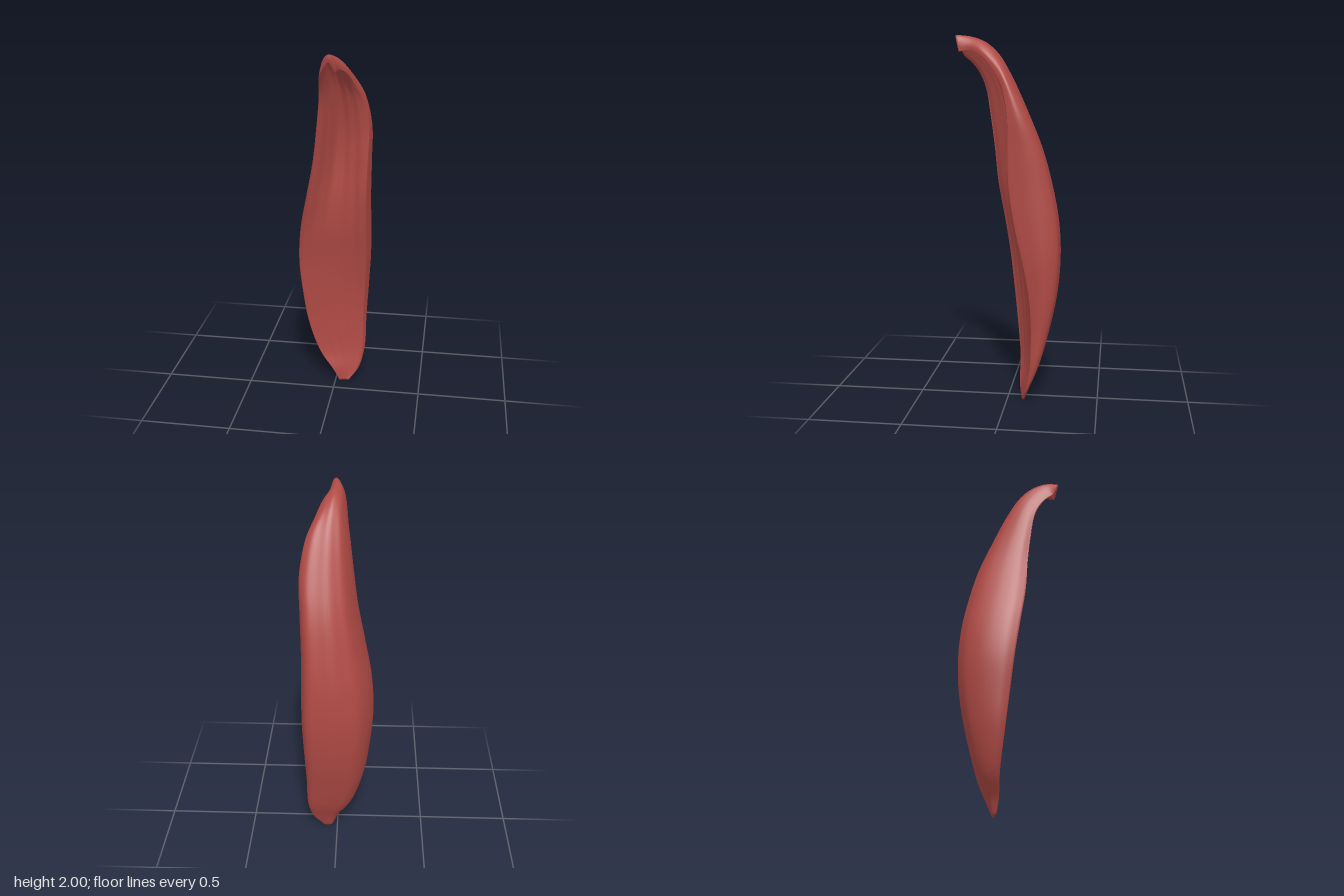
import * as THREE from 'three';

// Stations from base to tip: [left x, y, z,  spine y, z,  right x, y, z]
const STATIONS = [
  [0.025, 0.01, -0.072, 0.0, -0.095, 0.08, 0.01, -0.082],
  [-0.01, 0.08, -0.06, 0.08, -0.125, 0.135, 0.08, -0.11],
  [-0.09, 0.2, -0.055, 0.2, -0.175, 0.165, 0.2, -0.135],
  [-0.155, 0.4, -0.03, 0.4, -0.23, 0.17, 0.4, -0.145],
  [-0.185, 0.6, -0.005, 0.6, -0.27, 0.18, 0.6, -0.135],
  [-0.2, 0.8, 0.02, 0.8, -0.287, 0.19, 0.8, -0.1],
  [-0.185, 1.0, 0.05, 1.0, -0.278, 0.19, 1.0, -0.055],
  [-0.145, 1.2, 0.08, 1.2, -0.243, 0.19, 1.2, -0.025],
  [-0.105, 1.4, 0.095, 1.4, -0.19, 0.195, 1.4, -0.02],
  [-0.08, 1.58, 0.115, 1.6, -0.11, 0.198, 1.58, -0.018],
  [-0.062, 1.72, 0.135, 1.8, -0.015, 0.17, 1.73, 0.015],
  [-0.05, 1.8, 0.165, 1.9, 0.05, 0.13, 1.82, 0.07],
  [-0.042, 1.86, 0.21, 1.96, 0.12, 0.095, 1.89, 0.135],
  [-0.035, 1.89, 0.245, 1.99, 0.2, 0.06, 1.92, 0.2],
  [-0.01, 1.94, 0.268, 2.0, 0.285, 0.05, 1.91, 0.262],
];

// Cross-sections as [across 0..1, depth 0..1], blended from body to tip
const BACK = {
  body: [[0.03, 0], [0, 0.2], [0.045, 0.49], [0.16, 0.78], [0.36, 0.94],
    [0.65, 1], [0.89, 0.95], [1, 0.55], [0.96, 0]],
  tip: [[0, 0], [0.02, 0.25], [0.08, 0.55], [0.22, 0.85], [0.45, 1],
    [0.65, 0.95], [0.84, 0.7], [0.97, 0.32], [0.97, 0]],
};
// The front is nearly flat below and folds into a groove above
const FRONT = {
  body: [[0.03, 0], [0.09, 0.04], [0.2, 0.08], [0.34, 0.11], [0.5, 0.12],
    [0.66, 0.1], [0.8, 0.06], [0.9, 0.01], [0.96, 0]],
  tip: [[0, 0], [0.1, 0.07], [0.22, 0.24], [0.34, 0.44], [0.44, 0.5],
    [0.58, 0.39], [0.74, 0.22], [0.88, 0.05], [0.97, 0]],
};

const ROWS = 90, COLS = 40;

const smooth = (points) => new THREE.CatmullRomCurve3(points.map((p) => new THREE.Vector3(...p)));
const skin = ({ body, tip }) => ({
  body: smooth(body.map(([a, d]) => [a, d, 0])),
  tip: smooth(tip.map(([a, d]) => [a, d, 0])),
});

function petalGeometry() {
  const left = smooth(STATIONS.map((s) => s.slice(0, 3)));
  const spine = smooth(STATIONS.map((s) => [0, s[3], s[4]]));
  const right = smooth(STATIONS.map((s) => s.slice(5)));
  const back = skin(BACK), front = skin(FRONT);

  // Point on a skin: t runs base to tip, u runs left rim to right rim
  const pointOn = (curves, t, u, blend) => {
    const c = curves.body.getPoint(u).lerp(curves.tip.getPoint(u), blend);
    const p = left.getPoint(t).lerp(right.getPoint(t), c.x);
    const ridge = spine.getPoint(t);
    // faint lengthwise ribs
    const rib = 0.003 * Math.sin(u * 38 + t * 4) * Math.sin(Math.PI * u) * Math.sin(Math.PI * t);
    p.y += (ridge.y - p.y) * c.y;
    p.z += (ridge.z - p.z) * c.y + rib;
    return p;
  };

  // Closed rings: back skin left to right, then front skin back again
  const points = [], index = [], n = 2 * COLS;
  for (let j = 0; j <= ROWS; j++) {
    const t = j / ROWS;
    const curl = THREE.MathUtils.smoothstep(t, 0.6, 0.85);
    const groove = THREE.MathUtils.smoothstep(t, 0.4, 0.68);
    for (let i = 0; i <= COLS; i++) points.push(pointOn(back, t, i / COLS, curl));
    for (let i = COLS - 1; i > 0; i--) points.push(pointOn(front, t, i / COLS, groove));
  }
  for (let j = 0; j < ROWS; j++) {
    for (let i = 0; i < n; i++) {
      const a = j * n + i, b = j * n + (i + 1) % n;
      index.push(a, a + n, b, b, a + n, b + n);
    }
  }
  // Close the base and the tip
  const top = ROWS * n;
  for (let i = 0; i < COLS; i++) {
    const o = i, p = i + 1, q = (n - i) % n, r = n - 1 - i;
    if (i < COLS - 1) index.push(o, p, r, top + o, top + r, top + p);
    if (i > 0) index.push(o, r, q, top + o, top + q, top + r);
  }
  const geometry = new THREE.BufferGeometry().setFromPoints(points);
  geometry.setIndex(index);
  geometry.computeVertexNormals();
  return geometry;
}

export function createModel() {
  const red = new THREE.MeshStandardMaterial({ color: 0xb04a45, side: THREE.DoubleSide });
  red.name = 'petal red';
  const petal = new THREE.Mesh(petalGeometry(), red);
  petal.name = 'petal';
  const group = new THREE.Group();
  group.name = 'curledPetal';
  group.add(petal);
  return group;
}
